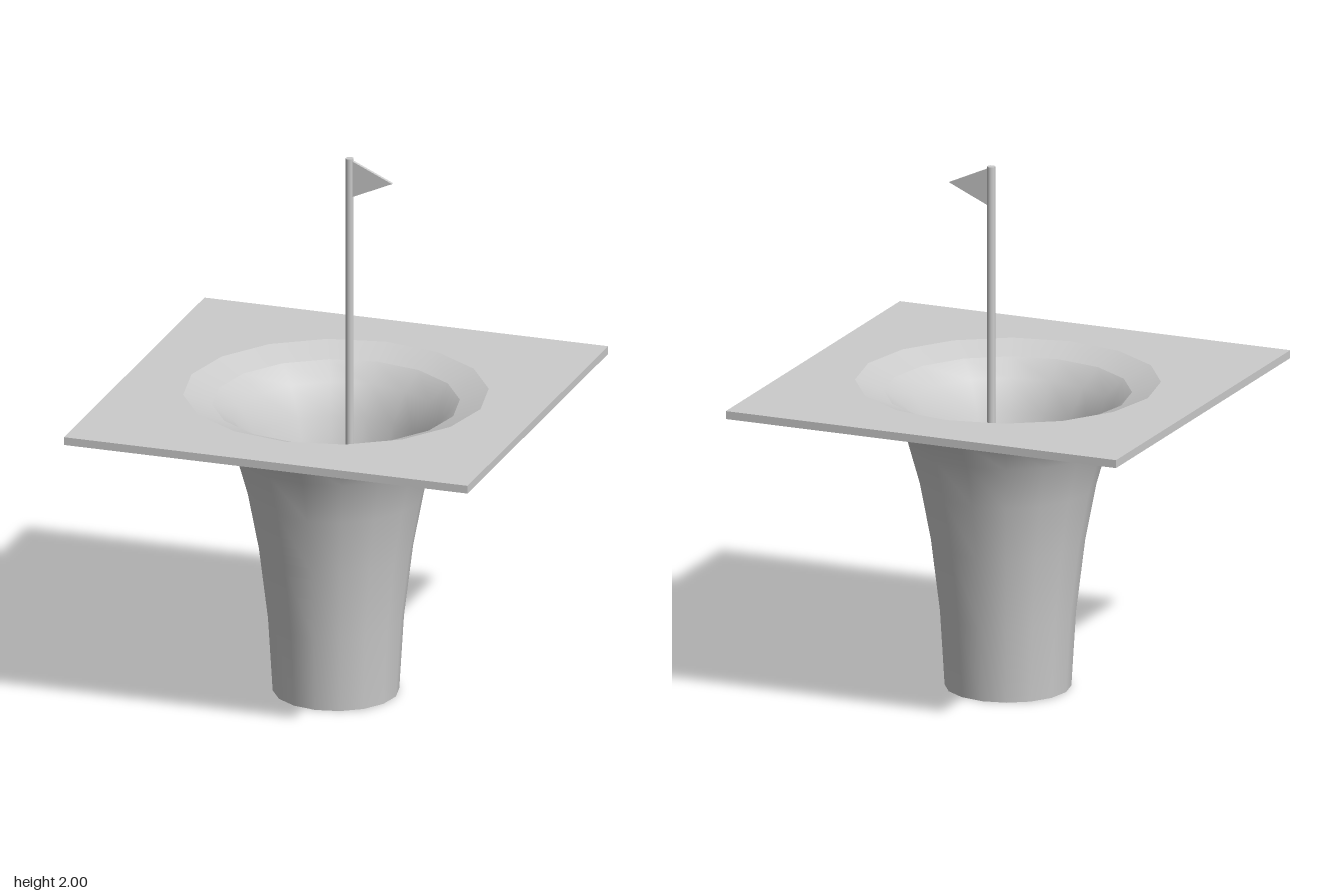
import * as THREE from 'three';

const SIDES = 16;

export function createModel() {
  const group = new THREE.Group();
  const material = new THREE.MeshStandardMaterial({ color: 0xcccccc });

  const add = (name, geometry, x = 0, y = 0, z = 0) => {
    const mesh = new THREE.Mesh(geometry, material);
    mesh.name = name;
    mesh.position.set(x, y, z);
    group.add(mesh);
    return mesh;
  };
  const lathe = (name, points) =>
    add(name, new THREE.LatheGeometry(points.map(([r, y]) => new THREE.Vector2(r, y)), SIDES));

  // Square plate with a polygonal opening
  const half = 0.775, rim = 0.555;
  const square = new THREE.Shape([[-half, -half], [half, -half], [half, half], [-half, half]]
    .map(([x, y]) => new THREE.Vector2(x, y)));
  const opening = Array.from({ length: SIDES }, (_, i) => {
    const a = -i * 2 * Math.PI / SIDES;
    return new THREE.Vector2(rim * Math.cos(a), rim * Math.sin(a));
  });
  square.holes.push(new THREE.Path(opening));
  const plate = new THREE.ExtrudeGeometry(square, { depth: 0.03, bevelEnabled: false });
  plate.rotateX(-Math.PI / 2);
  add('plate', plate, 0, 1.12, 0);

  // Flared cup: outer skin, inner skin, sloped rims and flat ends kept apart for sharp edges
  lathe('cupOuterWall', [[0.23, 0], [0.247, 0.28], [0.28, 0.55], [0.32, 0.76],
    [0.365, 0.92], [0.43, 1.03], [0.5, 1.1]]);
  lathe('cupOuterRim', [[0.5, 1.1], [0.57, 1.12]]);
  lathe('cupInnerRim', [[rim, 1.15], [0.45, 1.11]]);
  lathe('cupInnerWall', [[0.45, 1.11], [0.375, 1.05], [0.31, 0.94], [0.262, 0.77],
    [0.22, 0.56], [0.187, 0.29], [0.167, 0.05]]);
  lathe('cupFloor', [[0.167, 0.05], [0, 0.05]]);
  lathe('cupBase', [[0, 0], [0.23, 0]]);

  // Pole standing at the back of the cup floor
  const poleZ = -0.15, poleBottom = 0.04;
  add('flagPole', new THREE.CylinderGeometry(0.015, 0.015, 2 - poleBottom, 12),
    0, (2 + poleBottom) / 2, poleZ);

  // Triangular pennant
  const pennant = new THREE.Shape([[0, 1.848], [0.165, 1.922], [0, 1.997]]
    .map(([x, y]) => new THREE.Vector2(x, y)));
  const flag = new THREE.ExtrudeGeometry(pennant, { depth: 0.012, bevelEnabled: false });
  add('flag', flag, 0, 0, poleZ - 0.006);

  return group;
}
